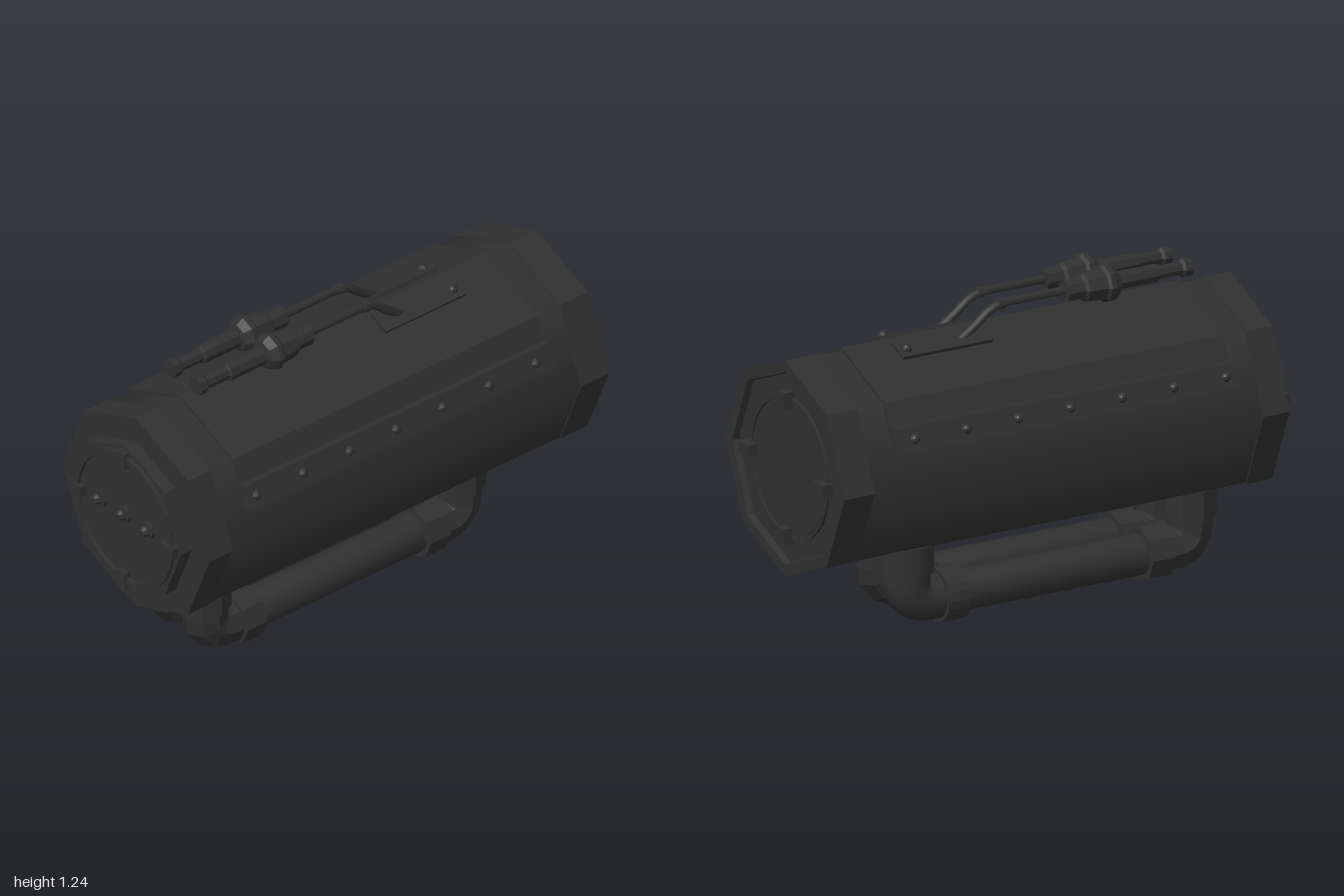
import * as THREE from 'three';

const CY = 0.665; // height of the drum axis
const FACE = Math.PI / 8; // tilt of the upper side faces
const dark = new THREE.MeshStandardMaterial({ color: 0x303030, flatShading: true });
const darkSmooth = new THREE.MeshStandardMaterial({ color: 0x303030, side: THREE.DoubleSide });

export function createModel() {
  const root = new THREE.Group();

  const add = (name, geo, x = 0, y = 0, z = 0, mat = dark, parent = root) => {
    const m = new THREE.Mesh(geo, mat);
    m.name = name;
    m.position.set(x, y, z);
    parent.add(m);
    return m;
  };
  // Turned part along x; profile is [radius, x] from low x to high x
  const turned = (profile, sides = 8) =>
    new THREE.LatheGeometry(profile.map(([r, x]) => new THREE.Vector2(r, x)), sides).rotateZ(-Math.PI / 2);
  const rodX = (r, x0, x1, sides = 8) => turned([[0, x0], [r, x0], [r, x1], [0, x1]], sides);
  // Puts a part on a sloping drum face: d = distance from axis, t = offset up the face
  const onFace = (name, geo, side, a, d, t, x) => {
    const m = add(name, geo, x, CY + d * Math.sin(a) + t * Math.cos(a),
      side * (d * Math.cos(a) - t * Math.sin(a)));
    m.rotation.x = side * (Math.PI / 2 - a);
    return m;
  };
  const rivetGeo = new THREE.SphereGeometry(0.021, 8, 4, 0, Math.PI * 2, 0, Math.PI / 2);

  // Drum and its two end bands
  add('drumBody', new THREE.CylinderGeometry(0.41, 0.41, 1.7, 8, 1, true).rotateZ(-Math.PI / 2),
    0.02, CY, 0, darkSmooth);
  add('rightBand', turned([[0, -0.91], [0.415, -0.91], [0.415, -0.8], [0.4, -0.8]]), 0, CY);
  add('leftBand', turned([[0.4, 0.85], [0.415, 0.85], [0.415, 0.98], [0.37, 0.98],
    [0.365, 0.955], [0, 0.955]]), 0, CY);

  // Stepped lid with three knobs on one end
  add('lid', turned([[0, -0.96], [0.315, -0.96], [0.315, -0.9], [0, -0.9]]), 0, CY);
  add('lidRing', turned([[0.255, -0.955], [0.255, -0.975], [0.28, -0.975], [0.28, -0.955]], 24), 0, CY);
  for (const z of [-0.135, 0, 0.135]) {
    add('lidKnob', turned([[0, -1], [0.015, -1], [0.022, -0.985], [0.022, -0.975],
      [0.034, -0.975], [0.034, -0.955]]), 0, CY + 0.02, z);
  }

  // Round hatch on the other end
  add('hatchRing', turned([[0.275, 0.95], [0.275, 0.965], [0.26, 0.965], [0.26, 0.95]], 32), 0, CY);
  add('hatchDisc', rodX(0.255, 0.94, 0.962, 32), 0, CY);

  // Four clamps around each end
  for (const [x, w, r] of [[-0.967, 0.036, 0.262], [0.97, 0.06, 0.262]]) {
    for (let i = 0; i < 4; i++) {
      const a = i * Math.PI / 2;
      const clamp = add('clamp', new THREE.BoxGeometry(w, 0.07, 0.045),
        x, CY + r * Math.cos(a), r * Math.sin(a));
      clamp.rotation.x = a;
    }
  }

  // Saddle plate bent over the top, with a thicker riveted flange along each side
  const half = [[0.356, 0.107], [0.4, 0.125], [0.365, 0.215], [0.337, 0.21], [0.298, 0.298]];
  const section = [...half, [0, 0.422], ...half.map(([z, y]) => [-z, y]).reverse(),
    [-0.275, 0.275], [0, 0.395], [0.275, 0.275]];
  const saddle = new THREE.ExtrudeGeometry(
    new THREE.Shape(section.map(([z, y]) => new THREE.Vector2(z, y))),
    { depth: 1.44, bevelEnabled: false });
  add('saddlePlate', saddle.rotateY(Math.PI / 2), -0.7, CY);

  const plugProfile = [[0, -0.69], [0.037, -0.69], [0.037, -0.66], [0.027, -0.65], [0.027, -0.55],
    [0.036, -0.545], [0.036, -0.38], [0.055, -0.375], [0.073, -0.345], [0.073, -0.325],
    [0.062, -0.315], [0.055, -0.24], [0.042, -0.23], [0.042, -0.16], [0, -0.16]];

  for (const side of [1, -1]) {
    for (let i = -3; i <= 3; i++) {
      onFace('flangeRivet', rivetGeo, side, FACE, 0.414, 0.01, i * 0.22);
    }

    // Cable mount, cable and plug
    onFace('cableMount', new THREE.BoxGeometry(0.38, 0.018, 0.09), side, 3 * FACE, 0.394, 0.08, 0.36);
    onFace('mountRivet', rivetGeo, side, 3 * FACE, 0.402, 0.075, 0.515);
    const z = side * 0.073;
    add('plug', turned(plugProfile), 0, 1.162, z);
    const path = new THREE.CatmullRomCurve3([[-0.17, 1.165], [0, 1.165], [0.11, 1.163],
      [0.16, 1.145], [0.21, 1.105], [0.29, 1.05]].map(([x, y]) => new THREE.Vector3(x, y, z)));
    add('cable', new THREE.TubeGeometry(path, 16, 0.017, 8), 0, 0, 0, darkSmooth);
    add('cableCuff', rodX(0.022, 0.1, 0.12), 0, 1.163, z);
  }

  // Two U-shaped pipes underneath
  for (const z of [0.11, -0.095]) {
    add('lowerPipe', rodX(0.077, -0.5, 0.36, 16), 0, 0.103, z, darkSmooth);
    for (const end of [-1, 1]) {
      const x = end < 0 ? -0.68 : 0.522;
      const at = (dx, y) => new THREE.Vector3(x - end * dx, y, z);
      const smooth = end > 0 && z < 0;
      const sides = smooth ? 20 : 8;
      const mat = smooth ? darkSmooth : dark;
      const bend = new THREE.CurvePath();
      bend.add(new THREE.LineCurve3(at(0, 0.3), at(0, 0.19)));
      bend.add(new THREE.QuadraticBezierCurve3(at(0, 0.19), at(0, 0.103), at(0.09, 0.103)));
      bend.add(new THREE.LineCurve3(at(0.09, 0.103), at(0.18, 0.103)));
      add('pipeElbow', new THREE.TubeGeometry(bend, smooth ? 20 : 9, 0.087, sides), 0, 0, 0, mat);
      add('pipeSocket', new THREE.CylinderGeometry(0.1, 0.1, 0.11, sides), x, 0.275, z);
      add('pipeCollar', rodX(0.103, -0.047, 0.047, sides), x - end * 0.168, 0.103, z);
    }
  }

  return root;
}
